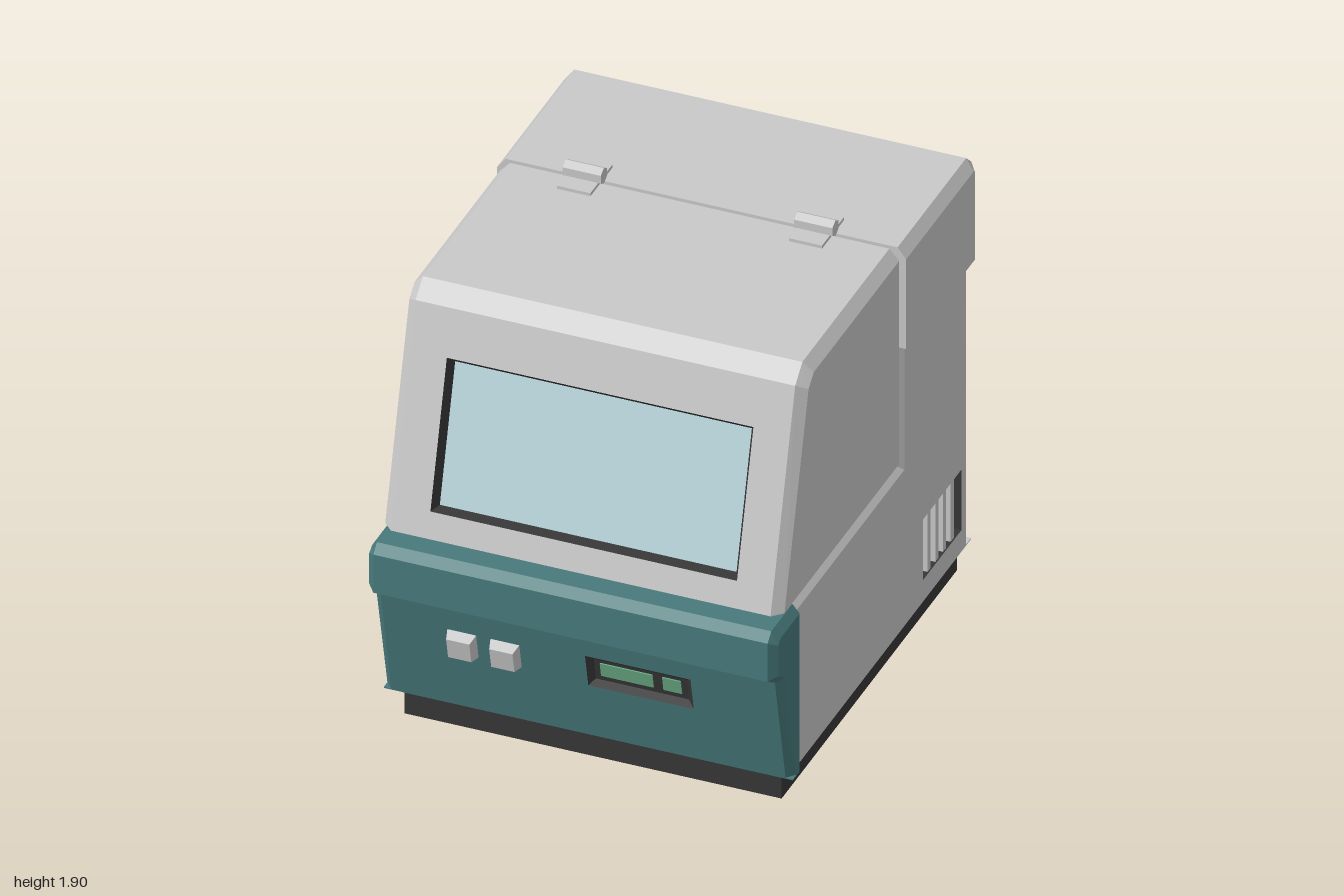
import * as THREE from 'three';

const mat = (name, color) => {
  const m = new THREE.MeshStandardMaterial({ color });
  m.name = name;
  return m;
};

export function createModel() {
  const grey = mat('casing grey', 0xc9c9c9);
  const teal = mat('fascia teal', 0x487a7c);
  const dark = mat('charcoal', 0x363636);
  const glass = mat('window glass', 0xb9d6dc);
  const green = mat('display green', 0x6aab85);

  const model = new THREE.Group();
  model.name = 'benchtopMachine';

  const add = (parent, name, geometry, material, x = 0, y = 0, z = 0) => {
    const mesh = new THREE.Mesh(geometry, material);
    mesh.name = name;
    mesh.position.set(x, y, z);
    parent.add(mesh);
    return mesh;
  };
  const box = (parent, name, material, w, h, d, x, y, z) =>
    add(parent, name, new THREE.BoxGeometry(w, h, d), material, x, y, z);
  const group = (name, parent = model) => {
    const g = new THREE.Group();
    g.name = name;
    parent.add(g);
    return g;
  };

  // flat-shaded geometry from a list of quads
  const quadGeometry = (quads) => {
    const pos = quads.flatMap(([a, b, c, d]) => [a, b, c, a, c, d].flat());
    const g = new THREE.BufferGeometry();
    g.setAttribute('position', new THREE.Float32BufferAttribute(pos, 3));
    g.computeVertexNormals();
    return g;
  };
  const toShape = (pts) => new THREE.Shape(pts.map(([x, y]) => new THREE.Vector2(x, y)));
  const rect = (x0, x1, y0, y1) => [[x0, y0], [x1, y0], [x1, y1], [x0, y1]];

  // flat panel in local xy with a tapered recess sunk into it
  const recessedPanel = (parent, name, outline, [x0, x1, y0, y1], taper, depth, skin, floor) => {
    const g = group(name, parent);
    const shape = toShape(outline);
    const outer = rect(x0, x1, y0, y1);
    const inner = rect(x0 + taper, x1 - taper, y0 + taper, y1 - taper);
    shape.holes.push(toShape(outer));
    add(g, name + 'Skin', new THREE.ShapeGeometry(shape), skin);
    const walls = outer.map((p, i) => {
      const j = (i + 1) % 4;
      return [[...p, 0], [...outer[j], 0], [...inner[j], -depth], [...inner[i], -depth]];
    });
    add(g, name + 'RecessWalls', quadGeometry(walls), dark);
    add(g, name + 'RecessFloor', quadGeometry([inner.map((p) => [...p, -depth])]), floor);
    return g;
  };

  // casing with chamfered sides: [z, y] profiles, full in the middle and inset at the ends
  const casing = (name, full, inset, xIn, xOut, material, openEdge = -1, sidePanel = null) => {
    const g = group(name);
    const sections = [[-xOut, inset], [-xIn, full], [xIn, full], [xOut, inset]];
    const quads = [];
    for (let k = 0; k < 3; k++) {
      const [xa, pa] = sections[k], [xb, pb] = sections[k + 1];
      full.forEach((_, i) => {
        if (k === 1 && i === openEdge) return;
        const j = (i + 1) % full.length;
        const at = (x, [z, y]) => [x, y, z];
        quads.push([at(xa, pa[i]), at(xa, pa[j]), at(xb, pb[j]), at(xb, pb[i])]);
      });
    }
    add(g, name + 'Shell', quadGeometry(quads), material);
    for (const s of [1, -1]) {
      const outline = inset.map(([z, y]) => [-s * z, y]);
      const side = sidePanel ? sidePanel(g, outline, s)
        : add(g, name + 'Side', new THREE.ShapeGeometry(toShape(outline)), material);
      side.rotation.y = s * Math.PI / 2;
      side.position.x = s * xOut;
    }
    return g;
  };

  // places a panel on the sloping face from profile point p0 up to p1
  const slope = ([z0, y0], [z1, y1]) => {
    const a = Math.atan2(z1 - z0, y1 - y0);
    return {
      length: Math.hypot(z1 - z0, y1 - y0),
      up: (y) => (y - y0) / Math.cos(a),
      place: (o) => { o.rotation.x = a; o.position.set(0, y0, z0); },
    };
  };

  // plinth
  box(model, 'plinth', dark, 1.53, 0.125, 1.71, 0, 0.0625, -0.075);

  // lower body with a finned vent on each side
  const ventPanel = (parent, outline, s) => {
    const mid = s * 0.6875;
    const g = recessedPanel(parent, 'sideVent', outline,
      [mid - 0.1875, mid + 0.1875, 0.22, 0.49], 0, 0.07, grey, dark);
    for (let k = -1.5; k <= 1.5; k++) {
      box(g, 'ventFin', grey, 0.03, 0.27, 0.06, mid + k * 0.075, 0.355, -0.036);
    }
    return g;
  };
  casing('body',
    [[0.765, 0.125], [-0.97, 0.125], [-0.97, 1.395], [-0.28, 1.395], [-0.28, 0.86], [0.765, 0.86]],
    [[0.765, 0.125], [-0.92, 0.125], [-0.92, 1.395], [-0.32, 1.395], [-0.32, 0.82], [0.765, 0.82]],
    0.77, 0.805, grey, -1, ventPanel);
  box(model, 'bodyBottomLip', grey, 1.61, 0.005, 1.735, 0, 0.1265, -0.1025);

  // rear top cover
  casing('rearCover',
    [[-0.277, 1.39], [-0.995, 1.39], [-0.995, 1.79], [-0.945, 1.835], [-0.277, 1.835]],
    [[-0.277, 1.39], [-0.945, 1.39], [-0.945, 1.785], [-0.935, 1.79], [-0.277, 1.79]],
    0.795, 0.83, grey);

  // hinged lid with a recessed window in its sloping front
  const lidFull = [[0.9, 0.885], [-0.257, 0.885], [-0.257, 1.835], [0.59, 1.835], [0.66, 1.77]];
  const lid = casing('lid', lidFull,
    [[0.86, 0.885], [-0.257, 0.885], [-0.257, 1.79], [0.575, 1.79], [0.625, 1.745]],
    0.77, 0.81, grey, 4);
  const lidFace = slope(lidFull[0], lidFull[4]);
  lidFace.place(recessedPanel(lid, 'window', rect(-0.77, 0.77, 0, lidFace.length),
    [-0.622, 0.622, lidFace.up(0.99), lidFace.up(1.58)], 0.02, 0.04, grey, glass));

  // rest pads under the lid
  for (const x of [-0.375, 0.375]) {
    for (const z of [0.487, 0.017]) box(model, 'lidPad', grey, 0.035, 0.03, 0.035, x, 0.872, z);
  }

  // control fascia with a recessed display
  const fasciaFull = [[0.825, 0.125], [0.76, 0.125], [0.76, 0.865], [0.965, 0.865],
    [1, 0.83], [1, 0.66], [0.93, 0.615]];
  const fascia = casing('fascia', fasciaFull,
    [[0.79, 0.125], [0.76, 0.125], [0.76, 0.83], [0.94, 0.83],
      [0.968, 0.81], [0.968, 0.675], [0.904, 0.63]],
    0.8, 0.83, teal, 6);
  box(fascia, 'fasciaBottomLip', teal, 1.66, 0.005, 0.065, 0, 0.1265, 0.7925);
  const front = slope(fasciaFull[0], fasciaFull[6]);
  const display = recessedPanel(fascia, 'display', rect(-0.8, 0.8, 0, front.length),
    [0.022, 0.45, front.up(0.38), front.up(0.53)], 0.025, 0.02, teal, dark);
  front.place(display);
  for (const [x0, x1] of [[0.072, 0.285], [0.325, 0.4]]) {
    box(display, 'screen', green, x1 - x0, 0.064, 0.006, (x0 + x1) / 2, front.up(0.46), -0.018);
  }

  // tapered push buttons
  const buttons = group('buttons', fascia);
  front.place(buttons);
  const buttonGeo = new THREE.BoxGeometry(0.118, 0.115, 0.045);
  const p = buttonGeo.attributes.position;
  for (let i = 0; i < p.count; i++) {
    if (p.getZ(i) > 0) p.setXY(i, p.getX(i) * 0.8, p.getY(i) * 0.8);
  }
  buttonGeo.computeVertexNormals();
  for (const x of [-0.48, -0.305]) add(buttons, 'button', buttonGeo, grey, x, front.up(0.452), 0.0205);

  // hinges: two leaves and a six-sided barrel
  const barrel = new THREE.CylinderGeometry(0.035, 0.035, 0.155, 6).toNonIndexed();
  barrel.rotateZ(Math.PI / 2).rotateX(Math.PI / 6);
  barrel.computeVertexNormals();
  for (const x of [-0.47, 0.47]) {
    const hinge = group('hinge');
    for (const z of [-0.323, -0.21]) box(hinge, 'hingeLeaf', grey, 0.135, 0.015, 0.1, x, 1.841, z);
    add(hinge, 'hingeBarrel', barrel, grey, x, 1.865, -0.267);
  }

  return model;
}
